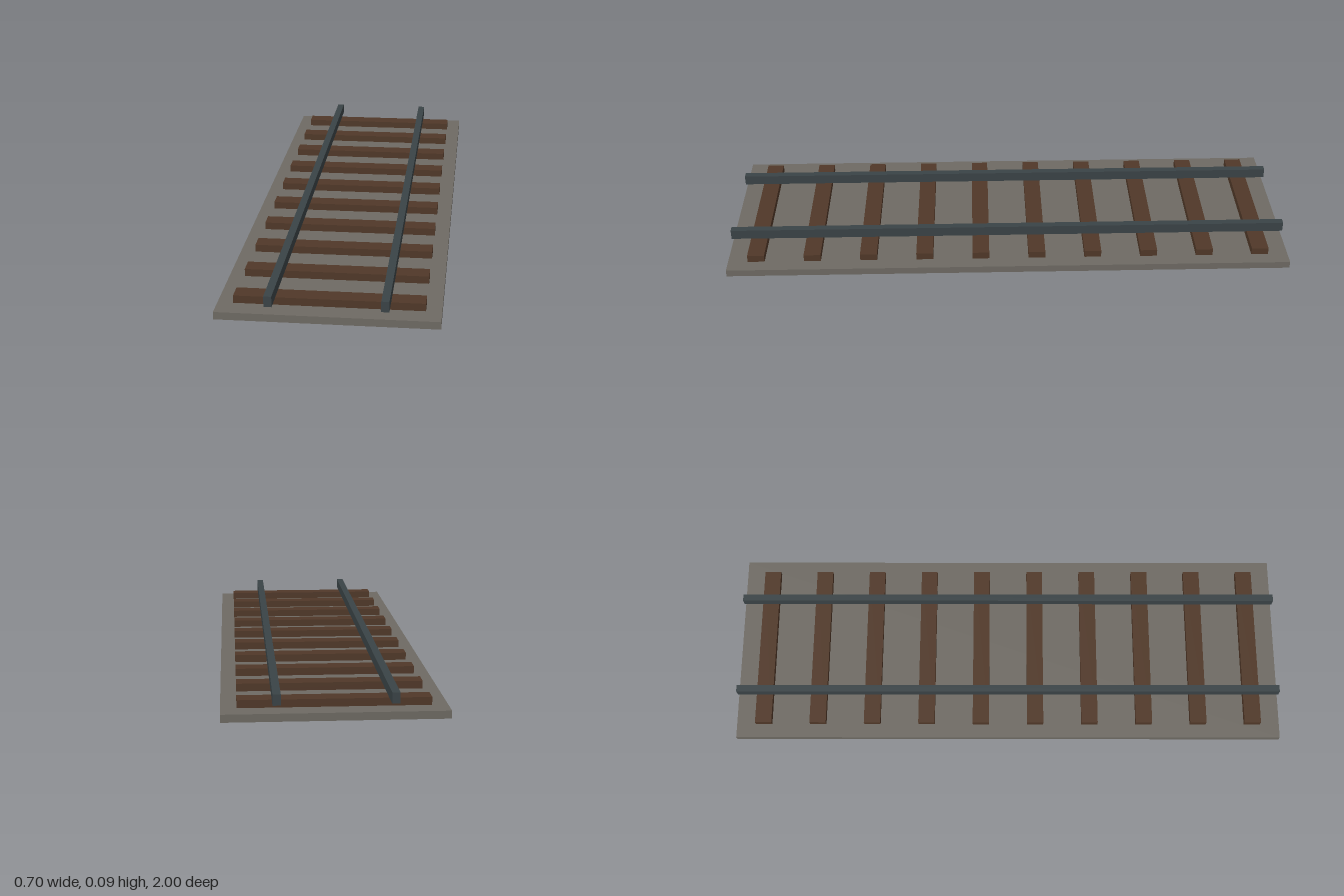
import * as THREE from 'three';

const gravel = new THREE.MeshStandardMaterial({ color: 0x6e6a63 });
gravel.name = 'gravel grey';
const wood = new THREE.MeshStandardMaterial({ color: 0x503828 });
wood.name = 'sleeper brown';
const steel = new THREE.MeshStandardMaterial({ color: 0x3a4346 });
steel.name = 'rail steel';

// Box whose underside rests at the given height
function slab(name, material, [w, h, d], [x, bottom, z]) {
  const mesh = new THREE.Mesh(new THREE.BoxGeometry(w, h, d), material);
  mesh.name = name;
  mesh.position.set(x, bottom + h / 2, z);
  return mesh;
}

export function createModel() {
  const track = new THREE.Group();
  track.name = 'railTrack';

  // Flat ballast bed
  track.add(slab('ballastBed', gravel, [0.7, 0.025, 2], [0, 0, 0]));

  // Ten evenly spaced sleepers
  const sleepers = new THREE.Group();
  sleepers.name = 'sleepers';
  for (let i = 0; i < 10; i++) {
    sleepers.add(slab(`sleeper${i + 1}`, wood, [0.6, 0.025, 0.06], [0, 0.025, -0.9 + i * 0.2]));
  }
  track.add(sleepers);

  // Pair of rails running the full length
  for (const side of [1, -1]) {
    track.add(slab(side > 0 ? 'leftRail' : 'rightRail', steel, [0.025, 0.035, 2], [side * 0.18, 0.05, 0]));
  }

  return track;
}
